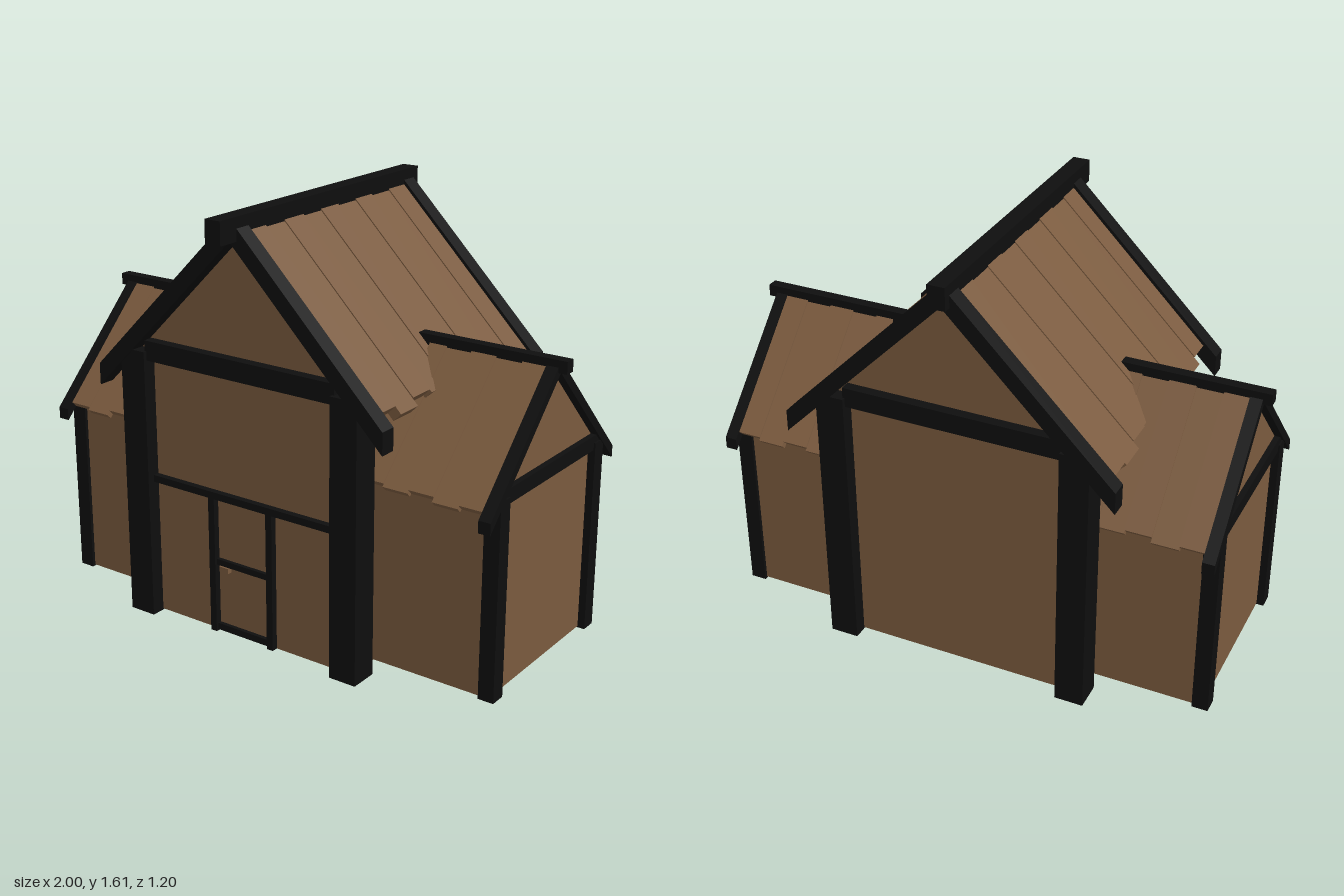
import * as THREE from 'three';

const wood = new THREE.MeshStandardMaterial({ color: 0x7a5a3e });
const beam = new THREE.MeshStandardMaterial({ color: 0x0e0e0e });

// Box given by its min/max extents on each axis
function box(parent, name, mat, [x0, x1], [y0, y1], [z0, z1]) {
  const mesh = new THREE.Mesh(new THREE.BoxGeometry(x1 - x0, y1 - y0, z1 - z0), mat);
  mesh.position.set((x0 + x1) / 2, (y0 + y1) / 2, (z0 + z1) / 2);
  mesh.name = name;
  parent.add(mesh);
}

// Outline in x,y pushed from z0 to z1
function prism(parent, name, mat, points, [z0, z1]) {
  const shape = new THREE.Shape(points.map(([x, y]) => new THREE.Vector2(x, y)));
  const geo = new THREE.ExtrudeGeometry(shape, { depth: z1 - z0, bevelEnabled: false });
  geo.translate(0, 0, z0);
  const mesh = new THREE.Mesh(geo, mat);
  mesh.name = name;
  parent.add(mesh);
}

// Five-sided body with 45 degree gables
function body(parent, name, half, base, apex, z) {
  prism(parent, name, wood,
    [[-half, base], [half, base], [half, apex - half], [0, apex], [-half, apex - half]], z);
}

// Pair of gable rafters with upright end cuts
function rafters(parent, name, y, thick, reach, z) {
  prism(parent, name, beam, [[0, y], [reach, y - reach], [reach, y + thick - reach],
    [0, y + thick], [-reach, y + thick - reach], [-reach, y - reach]], z);
}

// Roof boards on both slopes, square-cut at uneven eave ends
function planks(parent, y, thick, edges, ends) {
  for (const s of [-1, 1]) {
    for (let i = 0; i < ends.length; i++) {
      const e = ends[i], v = thick - (i % 2) * 0.006;
      prism(parent, 'roofPlank', wood,
        [[0, y], [s * (e - v / 2), y + v / 2 - e], [s * e, y + v - e], [0, y + v]],
        [edges[i], edges[i + 1]]);
    }
  }
}

function createHall() {
  const hall = new THREE.Group();
  hall.name = 'hall';
  hall.position.x = -0.018;
  body(hall, 'hallWalls', 0.47, 0.005, 1.52, [-0.485, 0.455]);

  // Corner posts
  for (const x of [-0.467, 0.467]) {
    for (const z of [-0.485, 0.455]) {
      box(hall, 'cornerPost', beam, [x - 0.055, x + 0.055], [0, 1.05], [z - 0.055, z + 0.055]);
    }
  }

  // Roof: ridge, gable rafters, boards
  box(hall, 'ridgeBeam', beam, [-0.033, 0.033], [1.52, 1.605], [-0.6, 0.6]);
  rafters(hall, 'frontRafters', 1.515, 0.083, 0.628, [0.45, 0.515]);
  rafters(hall, 'backRafters', 1.515, 0.083, 0.628, [-0.57, -0.505]);
  planks(hall, 1.515, 0.066,
    [-0.506, -0.4, -0.285, -0.18, -0.07, 0.035, 0.14, 0.25, 0.355, 0.451],
    [0.595, 0.6, 0.58, 0.575, 0.59, 0.58, 0.575, 0.595, 0.575]);

  // Tie beams below both gables
  box(hall, 'frontTieBeam', beam, [-0.42, 0.42], [1.015, 1.09], [0.44, 0.495]);
  box(hall, 'backTieBeam', beam, [-0.42, 0.42], [1.015, 1.09], [-0.525, -0.47]);

  // Door with frame, rails and handle
  const door = new THREE.Group();
  door.name = 'door';
  hall.add(door);
  box(door, 'lintel', beam, [-0.42, 0.42], [0.538, 0.565], [0.44, 0.48]);
  box(door, 'doorJamb', beam, [-0.152, -0.125], [0.005, 0.54], [0.44, 0.48]);
  box(door, 'doorJamb', beam, [0.111, 0.138], [0.005, 0.54], [0.44, 0.48]);
  box(door, 'doorRail', beam, [-0.13, 0.115], [0.275, 0.298], [0.44, 0.47]);
  box(door, 'doorSill', beam, [-0.13, 0.115], [0.01, 0.036], [0.44, 0.47]);
  box(door, 'doorHandle', wood, [-0.11, -0.07], [0.252, 0.273], [0.45, 0.475]);
  return hall;
}

// Wing built along its own +z, then turned to point sideways
function createWing(side) {
  const wing = new THREE.Group();
  wing.name = side > 0 ? 'leftWing' : 'rightWing';
  wing.rotation.y = side * Math.PI / 2;
  wing.position.z = side > 0 ? -0.024 : -0.018;
  body(wing, 'wingWalls', 0.355, 0.015, 1.1, [0.44, 0.935]);

  for (const x of [-0.337, 0.337]) {
    box(wing, 'wingPost', beam, [x - 0.031, x + 0.031], [0.01, 0.752], [0.902, 0.963]);
  }
  box(wing, 'wingTieBeam', beam, [-0.34, 0.34], [0.725, 0.78], [0.91, 0.957]);
  box(wing, 'wingRidge', beam, [-0.021, 0.021], [1.105, 1.15], [side > 0 ? 0.4 : 0.44, 1]);
  rafters(wing, 'wingRafters', 1.1, 0.045, 0.44, [0.921, 0.967]);
  planks(wing, 1.1, 0.041, [0.46, 0.53, 0.63, 0.73, 0.83, 0.922],
    [0.41, 0.415, 0.41, 0.42, 0.415]);
  return wing;
}

export function createModel() {
  const model = new THREE.Group();
  model.name = 'timberHouse';
  model.add(createHall(), createWing(1), createWing(-1));
  return model;
}
